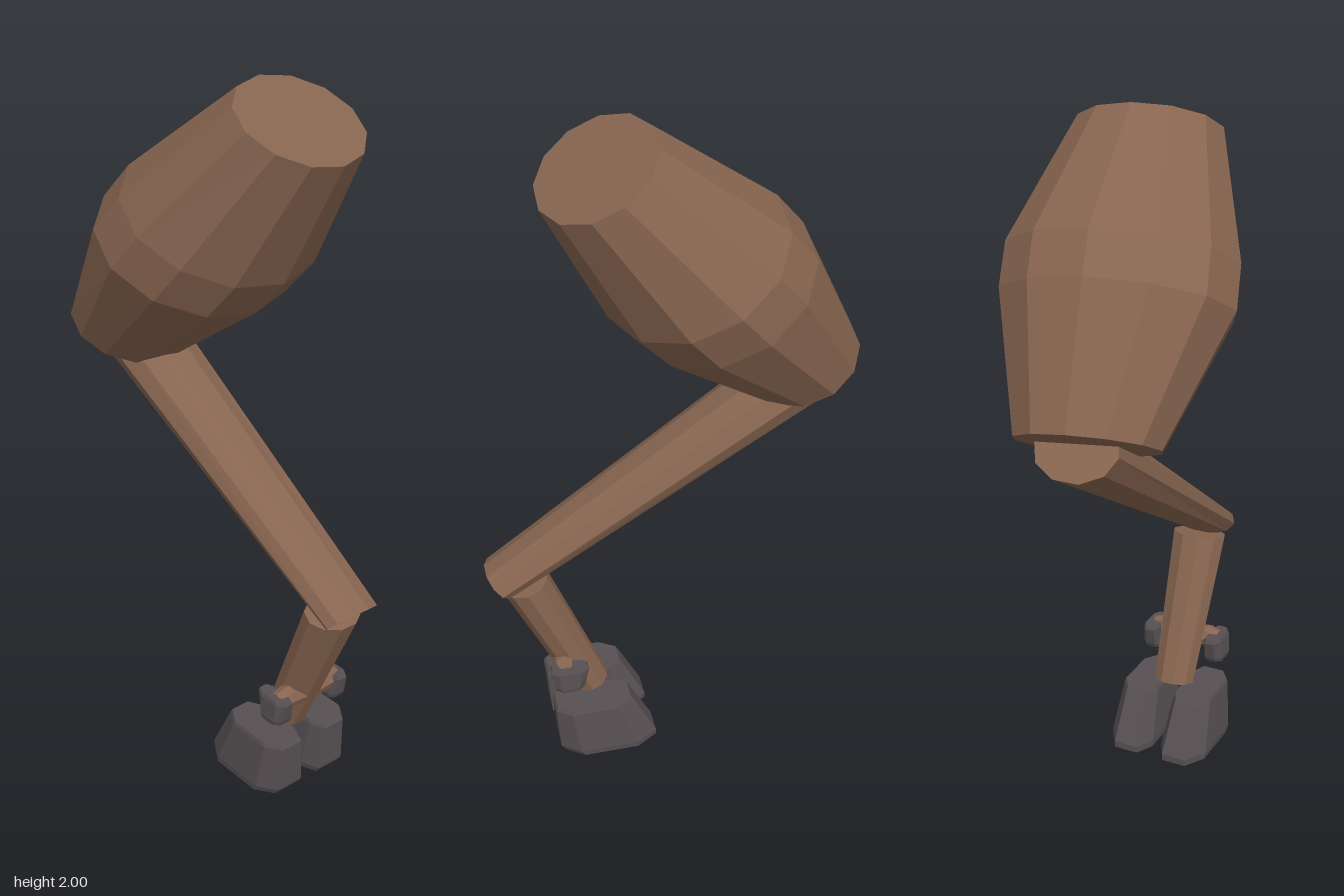
import * as THREE from 'three';

const brown = new THREE.MeshStandardMaterial({ color: 0x876550, flatShading: true });
brown.name = 'brown hide';
const grey = new THREE.MeshStandardMaterial({ color: 0x575052, flatShading: true });
grey.name = 'dark hoof';

// Regular outline with n corners on the unit circle
const round = n => Array.from({ length: n }, (_, i) => {
  const a = (i / n) * Math.PI * 2;
  return [Math.cos(a), Math.sin(a)];
});

// Capped loft: each ring is [centre, half-axis v, half-axis u], outline is a convex loop in (v, u)
function loft(name, material, outline, rings) {
  let r = rings.map(ring => ring.map(p => new THREE.Vector3(...p)));
  const axis = r[r.length - 1][0].clone().sub(r[0][0]);
  if (axis.dot(r[0][1].clone().cross(r[0][2])) < 0) r = r.reverse();
  const loops = r.map(([c, v, u]) =>
    outline.map(([a, b]) => c.clone().addScaledVector(v, a).addScaledVector(u, b)));
  const pos = [];
  const tri = (...pts) => pts.forEach(p => pos.push(p.x, p.y, p.z));
  const n = outline.length, last = loops.length - 1;
  for (let i = 0; i < n; i++) {
    const j = (i + 1) % n;
    for (let k = 0; k < last; k++) {
      const a = loops[k], b = loops[k + 1];
      tri(a[i], a[j], b[j]);
      tri(a[i], b[j], b[i]);
    }
    tri(r[0][0], loops[0][j], loops[0][i]);
    tri(r[last][0], loops[last][i], loops[last][j]);
  }
  const geo = new THREE.BufferGeometry();
  geo.setAttribute('position', new THREE.Float32BufferAttribute(pos, 3));
  geo.computeVertexNormals();
  const mesh = new THREE.Mesh(geo, material);
  mesh.name = name;
  return mesh;
}

export function createModel() {
  const leg = new THREE.Group();
  leg.name = 'hoofedLeg';

  // Barrel-shaped thigh, leaning back
  const endV = [0.203, -0.01, -0.03], endU = [0.015, -0.088, 0.146];
  const midV = [0.316, -0.015, -0.048], midU = [0.022, -0.138, 0.229];
  leg.add(loft('thigh', brown, round(12), [
    [[-0.06, 1.222, -0.4], [0.195, -0.01, -0.03], [0.015, -0.082, 0.142]],
    [[-0.016, 1.515, -0.145], midV, midU],
    [[0.01, 1.615, -0.0625], midV, midU],
    [[0.056, 1.913, 0.193], endV, endU],
  ]));

  // Shin runs forward and down from the thigh
  leg.add(loft('shin', brown, round(10), [
    [[-0.003, 0.63, 0.503], [0.089, 0, 0], [0, 0.035, 0.038]],
    [[-0.04, 1.215, -0.423], [0.122, 0, 0], [0, 0.069, 0.063]],
  ]));

  // Lower leg runs back down to the hooves
  leg.add(loft('lowerLeg', brown, round(10), [
    [[-0.007, 0.18, 0.25], [0.064, 0, 0], [0, -0.012, 0.058]],
    [[-0.005, 0.612, 0.43], [0.085, 0, 0], [0, -0.015, 0.07]],
  ]));

  // Chamfered outline: +v is the outer side, +u the front
  const hoof = [[1, -0.55], [1, 0.62], [0.48, 1], [-0.7, 1],
    [-1, 0.62], [-1, -0.62], [-0.6, -1], [0.45, -1]];

  for (const s of [-1, 1]) {
    const side = s < 0 ? 'right' : 'left';
    const x = -0.01 + s * 0.087;
    leg.add(loft(side + 'Hoof', grey, hoof, [
      [[x, 0, 0.207], [s * 0.071, 0, 0], [0, 0, 0.142]],
      [[x, 0.02, 0.214], [s * 0.073, 0, 0], [0, 0, 0.149]],
      [[x, 0.165, 0.254], [s * 0.06, 0, 0], [0, 0, 0.118]],
      [[x, 0.176, 0.254], [s * 0.056, 0, 0], [0, 0, 0.112]],
    ]));

    // Small dewclaw on a short stub
    const cx = -0.012 + s * 0.105;
    leg.add(loft(side + 'Dewclaw', grey, hoof, [
      [[cx, 0.252, 0.325], [s * 0.029, 0, 0], [0, 0, 0.04]],
      [[cx, 0.265, 0.325], [s * 0.031, 0, 0], [0, 0, 0.046]],
      [[cx, 0.32, 0.324], [s * 0.026, 0, 0], [0, 0, 0.057]],
      [[cx, 0.33, 0.324], [s * 0.022, 0, 0], [0, 0, 0.052]],
    ]));
    leg.add(loft(side + 'DewclawStub', brown, round(8), [
      [[-0.01 + s * 0.02, 0.305, 0.33], [0, 0.035, 0], [0, 0, 0.035]],
      [[-0.01 + s * 0.075, 0.312, 0.335], [0, 0.033, 0], [0, 0, 0.034]],
      [[-0.01 + s * 0.11, 0.312, 0.335], [0, 0.023, 0], [0, 0, 0.026]],
    ]));
  }
  return leg;
}
